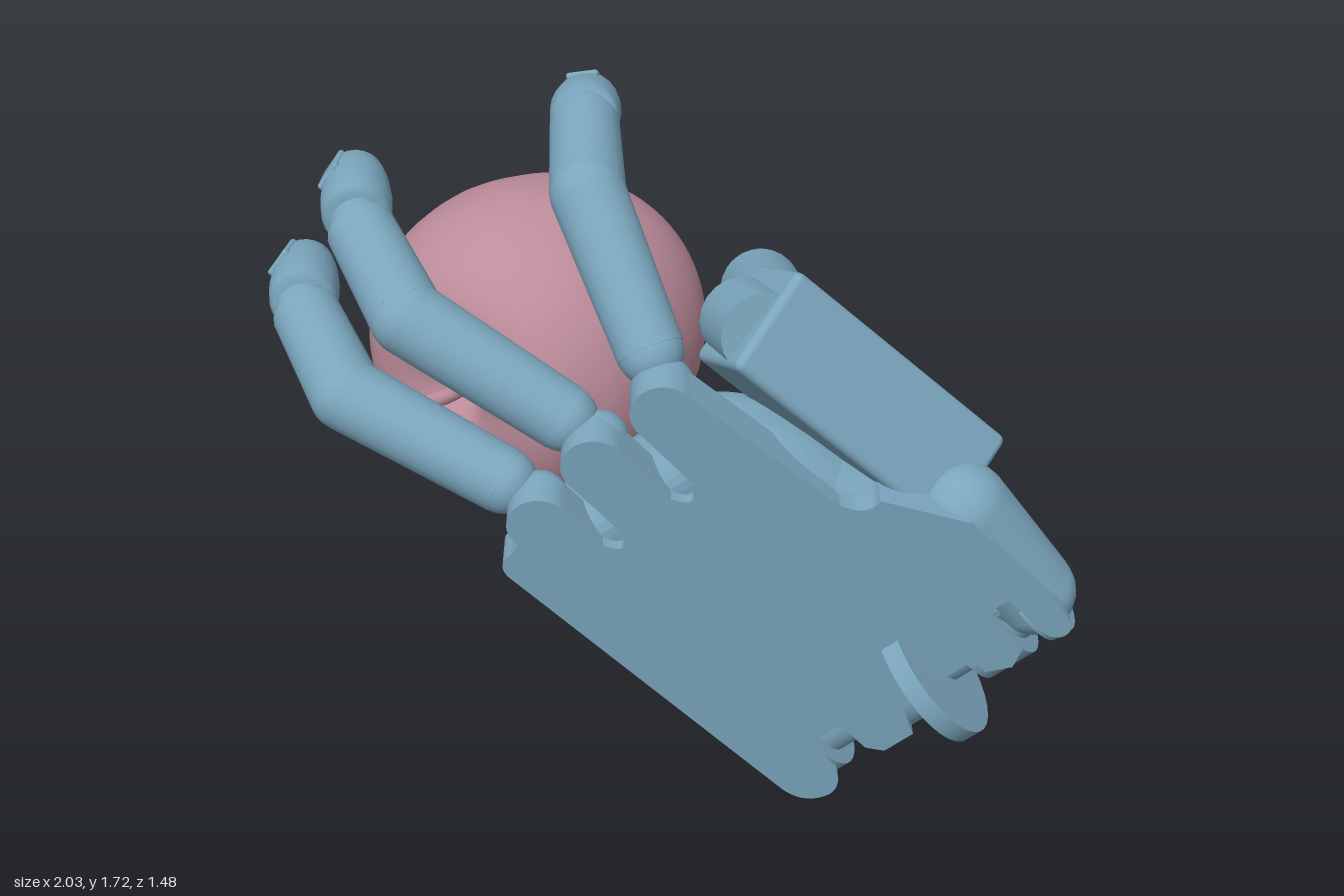
import * as THREE from 'three';
import { RoundedBoxGeometry } from 'three/addons/geometries/RoundedBoxGeometry.js';

const V = (x, y, z) => new THREE.Vector3(x, y, z);
const UP = V(0, 1, 0);
const blue = new THREE.MeshStandardMaterial({ color: 0x7ba6bd });
const pink = new THREE.MeshStandardMaterial({ color: 0xbd8c9b });
const red = new THREE.MeshStandardMaterial({ color: 0xc80a0a });

function part(parent, name, geometry, material = blue) {
  const m = new THREE.Mesh(geometry, material);
  m.name = name;
  parent.add(m);
  return m;
}

// Stands a y-axis mesh on point a, pointing to b
function aim(mesh, a, b, centred) {
  const d = b.clone().sub(a);
  mesh.position.copy(a);
  if (centred) mesh.position.addScaledVector(d, 0.5);
  mesh.quaternion.setFromUnitVectors(UP, d.normalize());
  return mesh;
}

function rod(parent, name, a, b, r0, r1, material = blue, sides = 20) {
  const geo = new THREE.CylinderGeometry(r1, r0, a.distanceTo(b), sides);
  return aim(part(parent, name, geo, material), a, b, true);
}

function ball(parent, name, p, r) {
  const m = part(parent, name, new THREE.SphereGeometry(r, 20, 14));
  m.position.copy(p);
  return m;
}

// Finger: hinge neck, two phalanges meeting at an elbow, gap joint, fingertip with nail
function finger(parent, name, [p0, p1, p2, p3], r, neck = 0.18) {
  const g = new THREE.Group();
  g.name = name;
  parent.add(g);
  const start = p0.clone().lerp(p1, neck);
  rod(g, 'neck', p0, start, r * 0.65, r * 0.65);
  ball(g, 'knuckle', p0, r * 0.8);
  ball(g, 'baseCap', start, r * 0.88);
  rod(g, 'proximalPhalanx', start, p1, r * 0.9, r);
  ball(g, 'elbow', p1, r);
  const end = p1.clone().lerp(p2, 0.92);
  rod(g, 'middlePhalanx', p1, end, r, r * 0.94);
  const tipStart = p2.clone().lerp(p3, 0.04);
  rod(g, 'joint', end, tipStart, r * 0.76, r * 0.76);

  const L = tipStart.distanceTo(p3);
  const profile = [[0, 0], [0.84, 0], [0.96, 0.08], [1, 0.3], [0.93, 0.6], [0.8, 0.8], [0.55, 0.94], [0.28, 0.99], [0, 1]];
  const tip = new THREE.LatheGeometry(profile.map(([x, y]) => new THREE.Vector2(x * r * 0.98, y * L)), 22);
  aim(part(g, 'fingertip', tip), tipStart, p3);

  // Nail lies almost flush on the outer side of the bend
  const along = p3.clone().sub(tipStart).normalize();
  const out = p1.clone().lerp(p3, 0.5).sub(p2).negate();
  out.addScaledVector(along, -out.dot(along)).normalize();
  const side = new THREE.Vector3().crossVectors(along, out);
  const nail = part(g, 'nail', new RoundedBoxGeometry(r * 0.9, L * 0.36, r * 0.2, 3, r * 0.09));
  nail.quaternion.setFromRotationMatrix(new THREE.Matrix4().makeBasis(side, along, out));
  nail.rotateX(-0.22);
  nail.position.copy(tipStart).addScaledVector(along, L * 0.66).addScaledVector(out, r * 0.77);
}

// Palm in its own frame: x across the wrist, y toward the fingers, z out of the back of the hand
function makePalm() {
  const palm = new THREE.Group();
  palm.name = 'palm';
  const x = V(0.644, 0.645, -0.41).normalize();
  const z = x.clone().cross(V(-0.458, 0.755, 0.467)).normalize();
  const y = z.clone().cross(x);
  palm.quaternion.setFromRotationMatrix(new THREE.Matrix4().makeBasis(x, y, z));
  palm.position.set(0.49, 0.01, 0.01);

  // Back plate with knuckle tongues and wrist notches
  const s = new THREE.Shape();
  s.moveTo(-0.05, 0.09);
  s.lineTo(-0.1, 1.06);
  s.quadraticCurveTo(-0.1, 1.11, -0.05, 1.11);
  s.lineTo(-0.018, 1.12);
  const lobes = [[0.058, 1.13], [0.269, 1.175], [0.489, 1.185]];
  lobes.forEach(([cx, cy], i) => {
    s.absarc(cx, cy, 0.076, Math.PI, 0, true);
    if (i < 2) {
      const nx = lobes[i + 1][0] - 0.076;
      s.lineTo(cx + 0.076, 0.99);
      s.quadraticCurveTo((cx + 0.076 + nx) / 2, 0.92, nx, 0.99);
    }
  });
  s.lineTo(0.63, 0.72);
  s.quadraticCurveTo(0.66, 0.65, 0.71, 0.67);
  s.lineTo(0.83, 0.48);
  s.lineTo(0.84, 0.15);
  s.quadraticCurveTo(0.84, 0.05, 0.8, 0.05);
  s.quadraticCurveTo(0.76, 0.05, 0.76, 0.12);
  for (const [px, py] of [[0.76, 0.23], [0.69, 0.23], [0.69, 0.08], [0.64, 0.05], [0.58, 0.08], [0.58, 0.13],
    [0.36, 0.13], [0.32, 0.03], [0.23, 0.03], [0.2, 0.07], [0.2, 0.17], [0.11, 0.17], [0.1, 0.06]]) s.lineTo(px, py);
  s.quadraticCurveTo(0.07, 0, 0.03, 0);
  s.quadraticCurveTo(-0.04, 0.01, -0.05, 0.09);
  const plate = part(palm, 'backPlate', new THREE.ExtrudeGeometry(s, { depth: 0.1, bevelEnabled: false, curveSegments: 12 }));
  plate.position.z = -0.05;

  // Fleshy inner palm with a broad rounded rim
  const inner = new THREE.Shape();
  inner.moveTo(0.06, 0.2);
  inner.lineTo(-0.02, 0.9);
  inner.quadraticCurveTo(-0.03, 0.99, 0.08, 0.98);
  inner.lineTo(0.46, 0.97);
  inner.quadraticCurveTo(0.55, 0.9, 0.58, 0.72);
  inner.lineTo(0.7, 0.46);
  inner.lineTo(0.7, 0.2);
  inner.closePath();
  const pad = part(palm, 'innerPalm', new THREE.ExtrudeGeometry(inner,
    { depth: 0.04, bevelThickness: 0.11, bevelSize: 0.09, bevelSegments: 7, curveSegments: 10 }));
  pad.position.z = -0.13;

  // Wrist hinge: core, barrel segments and a larger tendon disc
  const barrel = (name, a, b, r, n = -0.085) => rod(palm, name, V(a, 0.12, n), V(b, 0.12, n), r, r, blue, 32);
  barrel('wristCore', 0, 0.79, 0.095);
  for (const [a, b] of [[0, 0.11], [0.2, 0.38], [0.56, 0.69], [0.75, 0.8]]) barrel('wristBarrel', a, b, 0.135);
  barrel('tendonDisc', 0.43, 0.48, 0.2, -0.03);

  // Rounded outer edge from wrist to the folding metacarpal
  const low = V(0.77, 0.13, -0.07), high = V(0.79, 0.45, -0.07);
  rod(palm, 'edgeColumn', low, high, 0.11, 0.12);
  ball(palm, 'edgeCap', low, 0.11);
  ball(palm, 'edgeCap', high, 0.12);

  // Folding metacarpal bar carrying the separate finger
  const bar = part(palm, 'foldingMetacarpal', new RoundedBoxGeometry(0.27, 0.7, 0.23, 2, 0.02));
  bar.position.set(0.755, 0.81, -0.17);
  bar.rotation.set(0, 0.62, 0.11, 'ZYX');
  rod(palm, 'metacarpalHinge', V(0.67, 1.12, -0.24), V(0.74, 1.13, -0.09), 0.1, 0.1);
  return palm;
}

// Apple with its stalk toward +z and a dimple with a nub at the back
function makeApple() {
  const g = new THREE.Group();
  g.name = 'apple';
  const pts = [[0, -0.335], [0.05, -0.34], [0.1, -0.37], [0.17, -0.375], [0.26, -0.325], [0.345, -0.21], [0.395, -0.06],
    [0.408, 0.06], [0.385, 0.2], [0.31, 0.32], [0.2, 0.37], [0.1, 0.35], [0.03, 0.28], [0, 0.265]];
  const curve = new THREE.SplineCurve(pts.map(([a, b]) => new THREE.Vector2(a, b)));
  const profile = curve.getPoints(52).map(p => new THREE.Vector2(Math.max(p.x, 0), p.y));
  part(g, 'fruit', new THREE.LatheGeometry(profile, 56), pink);
  const nub = part(g, 'nub', new THREE.SphereGeometry(0.018, 12, 8), pink);
  nub.position.y = -0.338;
  const stalk = new THREE.CatmullRomCurve3([V(0, 0.25, 0), V(0.005, 0.36, 0), V(-0.02, 0.43, 0)]);
  part(g, 'stalk', new THREE.TubeGeometry(stalk, 10, 0.02, 10), pink);
  g.position.set(-0.39, 1.055, 0.02);
  g.quaternion.setFromUnitVectors(UP, V(0, -0.07, 1).normalize());
  return g;
}

export function createModel() {
  const model = new THREE.Group();
  model.name = 'handHoldingApple';
  model.add(makePalm(), makeApple());

  finger(model, 'littleFinger', [V(-0.02, 0.91, 0.48), V(-0.48, 1.11, 0.64), V(-0.77, 1.19, 0.49), V(-0.98, 1.19, 0.27)], 0.09);
  finger(model, 'ringFinger', [V(0.1, 1.08, 0.4), V(-0.32, 1.34, 0.58), V(-0.62, 1.44, 0.43), V(-0.83, 1.465, 0.22)], 0.09);
  finger(model, 'middleFinger', [V(0.23, 1.23, 0.32), V(-0.08, 1.59, 0.21), V(-0.28, 1.65, -0.02), V(-0.475, 1.575, -0.27)], 0.09);
  finger(model, 'indexFinger', [V(0.35, 1.32, 0.03), V(0.11, 1.23, -0.22), V(-0.1, 1.0, -0.49), V(-0.09, 0.75, -0.72)], 0.1, 0.12);

  // Thumb with a broad root blending into the palm
  finger(model, 'thumb', [V(0.2, 0.37, 0.06), V(-0.13, 0.245, -0.09), V(-0.38, 0.39, -0.28), V(-0.62, 0.53, -0.53)], 0.112, 0.05);
  rod(model, 'thumbRoot', V(0.34, 0.4, 0.08), V(0.08, 0.33, 0.01), 0.16, 0.11);

  // Direction arrow
  const arrow = new THREE.Group();
  arrow.name = 'arrow';
  model.add(arrow);
  const tail = V(-0.57, 0.97, -0.27), neck = V(-0.665, 0.9, -0.45), point = V(-0.74, 0.85, -0.59);
  rod(arrow, 'arrowShaft', tail, neck, 0.034, 0.034, red);
  rod(arrow, 'arrowHead', neck, point, 0.068, 0, red, 24);
  return model;
}
